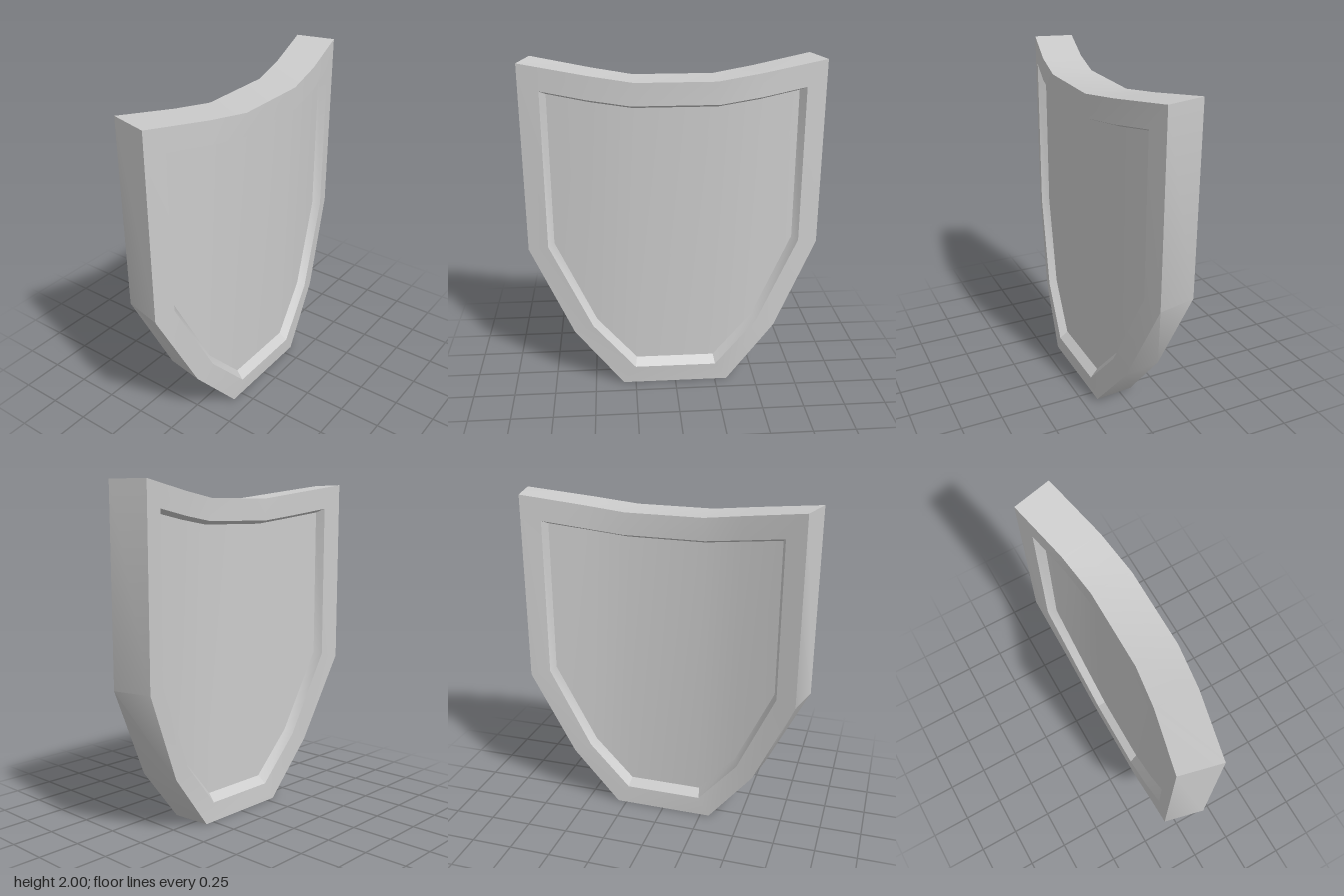
import * as THREE from 'three';
import { toCreasedNormals } from 'three/addons/utils/BufferGeometryUtils.js';

// Right half of each outline, from top centre clockwise to the bottom: [x, y, z]
const frontOuter = [[0.23, 1.91, 0.183], [0.49, 1.945, 0.142], [0.875, 2, 0.046], [0.875, 0.885, 0.046], [0.62, 0.35, 0.112], [0.325, 0, 0.157]];
const frontInner = [[0.25, 1.78, 0.181], [0.49, 1.81, 0.144], [0.755, 1.85, 0.08], [0.755, 0.91, 0.08], [0.505, 0.4, 0.137], [0.25, 0.115, 0.167]];
const frontBed = [[0.24, 1.76, 0.132], [0.48, 1.79, 0.098], [0.72, 1.827, 0.04], [0.72, 0.92, 0.04], [0.48, 0.425, 0.094], [0.24, 0.16, 0.12]];
const backOuter = [[0.23, 1.91, -0.06], [0.47, 1.945, -0.098], [0.82, 2, -0.185], [0.82, 0.885, -0.185], [0.58, 0.35, -0.117], [0.305, 0, -0.08]];
const backInner = [[0.24, 1.78, -0.062], [0.46, 1.81, -0.096], [0.705, 1.85, -0.156], [0.705, 0.91, -0.156], [0.475, 0.4, -0.101], [0.235, 0.115, -0.073]];
const backBed = [[0.23, 1.76, -0.012], [0.45, 1.79, -0.046], [0.685, 1.827, -0.103], [0.685, 0.92, -0.103], [0.455, 0.425, -0.05], [0.225, 0.16, -0.024]];

// Complete an outline by mirroring its right half
const closed = (half) => [...half, ...half.map(([x, y, z]) => [-x, y, z]).reverse()];

function quadMesh(name, quads) {
  const positions = [];
  for (const [a, b, c, d] of quads) positions.push(...a, ...b, ...c, ...a, ...c, ...d);
  const geometry = new THREE.BufferGeometry();
  geometry.setAttribute('position', new THREE.Float32BufferAttribute(positions, 3));
  const mesh = new THREE.Mesh(
    toCreasedNormals(geometry, Math.PI / 7),
    new THREE.MeshStandardMaterial({ color: 0xcccccc })
  );
  mesh.name = name;
  return mesh;
}

// Vertical strips spanning the upper and lower edges of an outline
function panel(name, half, facesBack) {
  const loop = closed(half);
  const top = [9, 10, 11, 0, 1, 2];
  const bottom = [8, 7, 6, 5, 4, 3];
  const quads = [];
  for (let i = 0; i < 5; i++) {
    const quad = [bottom[i], bottom[i + 1], top[i + 1], top[i]].map((k) => loop[k]);
    quads.push(facesBack ? quad.reverse() : quad);
  }
  return quadMesh(name, quads);
}

// Frame wrapping from the front recess, around the outside, to the back recess
function rim() {
  const loops = [frontBed, frontInner, frontOuter, backOuter, backInner, backBed].map(closed);
  const quads = [];
  for (let j = 0; j < loops.length - 1; j++) {
    const a = loops[j], b = loops[j + 1];
    for (let i = 0; i < a.length; i++) {
      const n = (i + 1) % a.length;
      quads.push([a[i], a[n], b[n], b[i]]);
    }
  }
  return quadMesh('rim', quads);
}

export function createModel() {
  const shield = new THREE.Group();
  shield.name = 'shield';
  shield.add(rim(), panel('frontPanel', frontBed, false), panel('backPanel', backBed, true));
  return shield;
}
